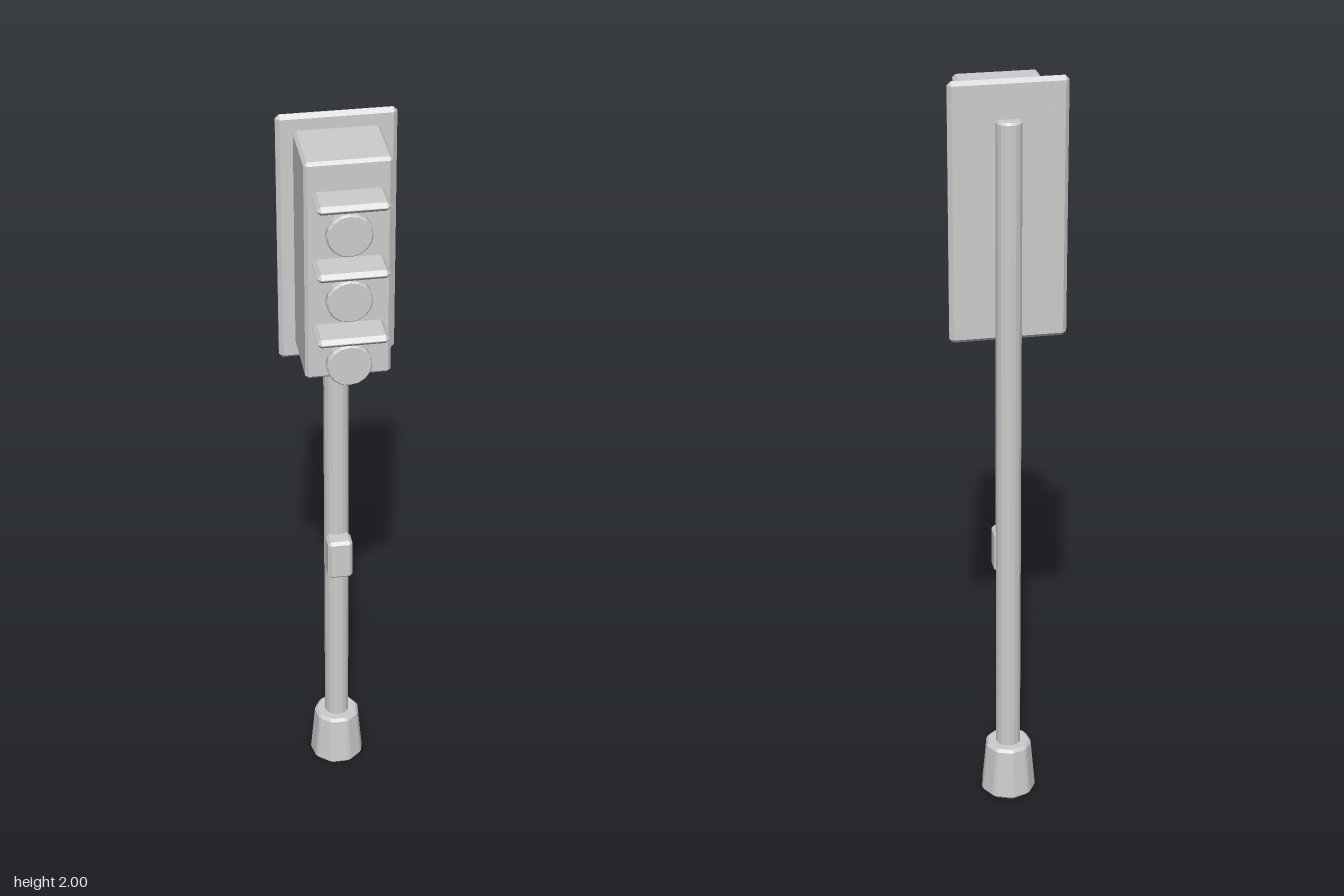
import * as THREE from 'three';
import { ConvexGeometry } from 'three/addons/geometries/ConvexGeometry.js';

const grey = new THREE.MeshStandardMaterial({ color: 0xcccccc });
grey.name = 'light grey';

// Box between two corners with every edge chamfered by c
function chamferBox(min, max, c) {
  const mid = min.map((v, i) => (v + max[i]) / 2);
  const half = min.map((v, i) => (max[i] - v) / 2);
  const points = [];
  for (const sx of [-1, 1]) for (const sy of [-1, 1]) for (const sz of [-1, 1]) {
    const s = [sx, sy, sz];
    for (let full = 0; full < 3; full++) {
      points.push(new THREE.Vector3(...s.map((v, i) => mid[i] + v * (half[i] - (i === full ? 0 : c)))));
    }
  }
  return new ConvexGeometry(points);
}

// Faceted solid around y from [radius, height] rings; a corner points to -z.
// A nonzero bevel angle splits each corner in two.
function facetedSolid(rings, sides, bevel = 0) {
  const points = [];
  for (const [r, y] of rings) for (let i = 0; i < sides; i++) {
    for (const b of bevel ? [-bevel, bevel] : [0]) {
      const a = Math.PI + (i / sides) * Math.PI * 2 + b;
      points.push(new THREE.Vector3(r * Math.sin(a), y, r * Math.cos(a)));
    }
  }
  return new ConvexGeometry(points);
}

export function createModel() {
  const model = new THREE.Group();
  model.name = 'trafficLight';
  const add = (name, geometry, x = 0, y = 0, z = 0) => {
    const mesh = new THREE.Mesh(geometry, grey);
    mesh.name = name;
    mesh.position.set(x, y, z);
    model.add(mesh);
    return mesh;
  };
  const poleZ = -0.104;

  // Tapered foot and pole
  add('base', facetedSolid([[0.066, 0], [0.073, 0.008], [0.061, 0.142], [0.054, 0.15]], 9, 0.07), 0, 0, poleZ);
  add('pole', facetedSolid([[0.033, 0.14], [0.033, 1.896], [0.028, 1.902]], 16), 0, 0, poleZ);

  // Push button box on the front of the pole
  add('buttonBox', chamferBox([-0.033, 0.658, -0.084], [0.033, 0.775, -0.03], 0.008));

  // Signal head
  add('backPlate', chamferBox([-0.147, 1.33, -0.105], [0.147, 2, -0.082], 0.01));
  add('housing', chamferBox([-0.106, 1.372, -0.09], [0.106, 1.96, 0.09], 0.008));

  // Three lamps, each with a flat visor above
  const lens = facetedSolid([[0.057, 0], [0.057, 0.018], [0.053, 0.023]], 16);
  lens.rotateX(Math.PI / 2);
  const visor = chamferBox([-0.088, -0.011, 0.07], [0.088, 0.011, 0.174], 0.01);
  [1.773, 1.594, 1.415].forEach((y) => {
    add('lens', lens, 0, y, 0.09);
    add('visor', visor, 0, y + 0.101, 0);
  });
  return model;
}
